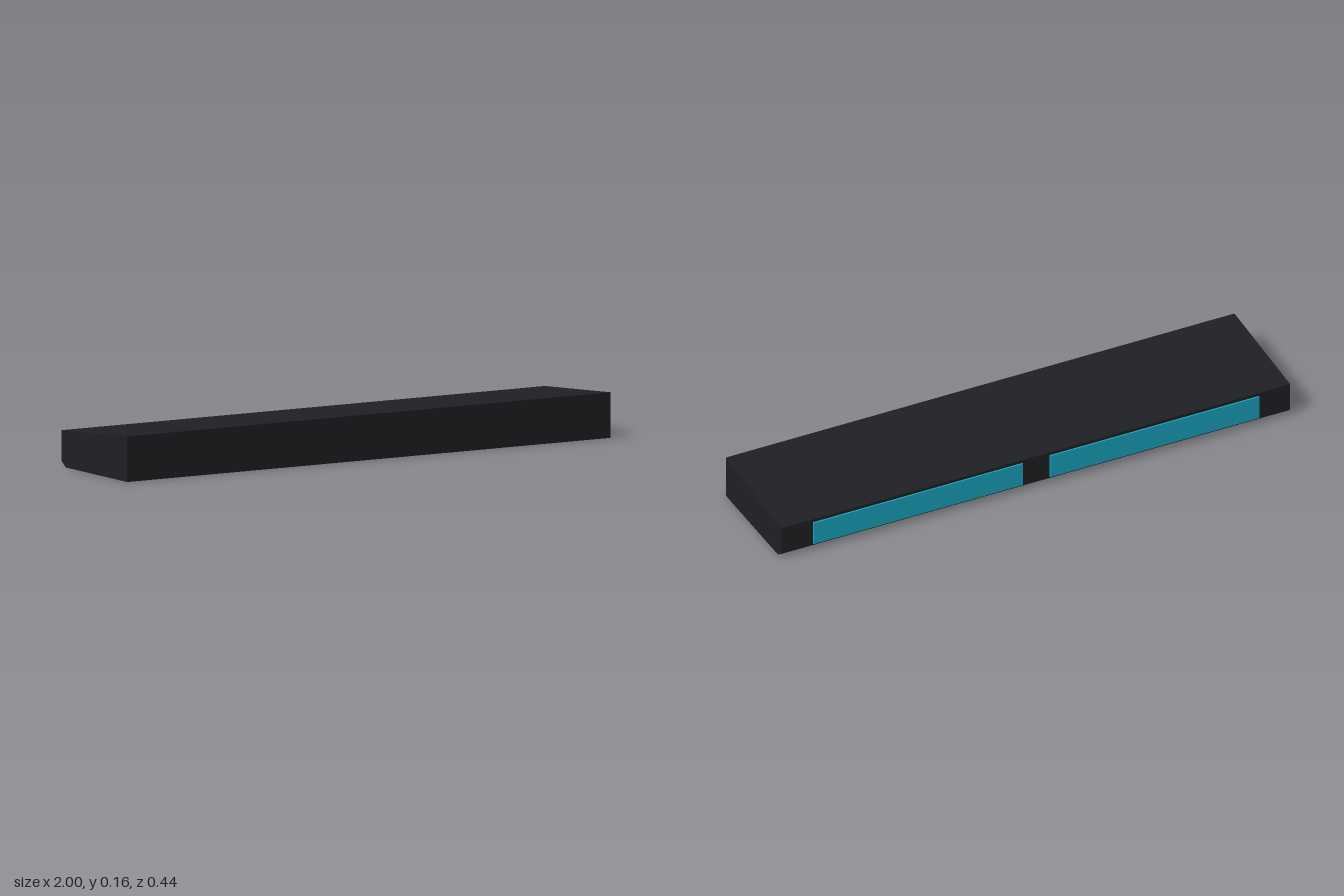
import * as THREE from 'three';

export function createModel() {
  const model = new THREE.Group();
  const dark = new THREE.MeshStandardMaterial({ color: 0x1f2024, flatShading: true });
  const teal = new THREE.MeshStandardMaterial({ color: 0x1ba6c2, flatShading: true });

  // Wedge body: side profile as (-z, y), extruded along x
  const profile = new THREE.Shape([
    [-0.222, 0], [0.188, 0], [0.216, 0.02], [0.216, 0.129], [-0.222, 0.162],
  ].map(([x, y]) => new THREE.Vector2(x, y)));
  const bodyGeometry = new THREE.ExtrudeGeometry(profile, { depth: 2, bevelEnabled: false });
  bodyGeometry.translate(0, 0, -1).rotateY(Math.PI / 2);
  const body = new THREE.Mesh(bodyGeometry, dark);
  body.name = 'body';
  model.add(body);

  // Pair of raised light panels on the back
  for (const side of [-1, 1]) {
    const panel = new THREE.Mesh(new THREE.BoxGeometry(0.822, 0.09, 0.012), teal);
    panel.position.set(side * 0.465, 0.072, -0.216);
    panel.name = side > 0 ? 'leftPanel' : 'rightPanel';
    model.add(panel);
  }
  return model;
}
